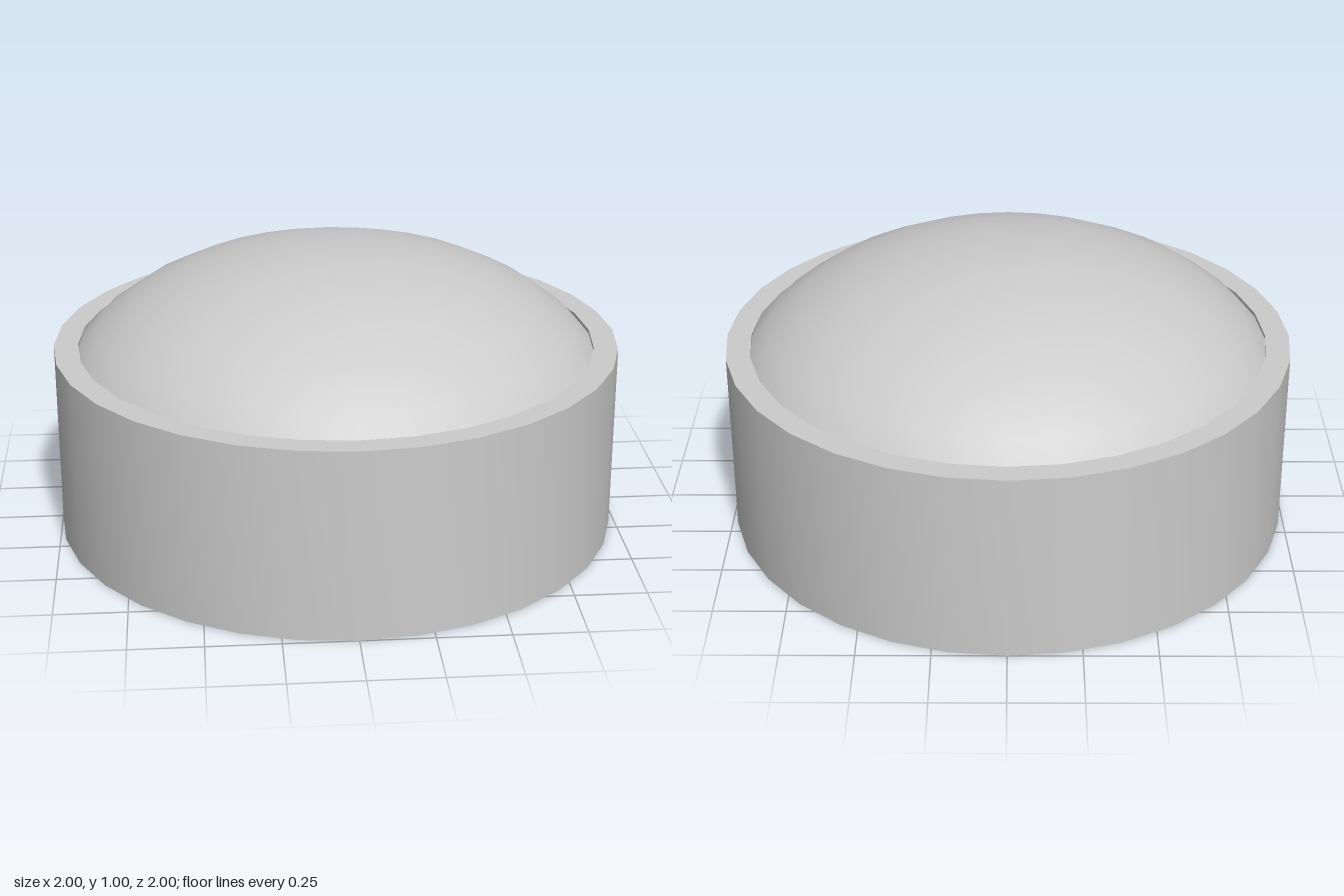
import * as THREE from 'three';
import { toCreasedNormals } from 'three/addons/utils/BufferGeometryUtils.js';

export function createModel() {
  const group = new THREE.Group();
  const material = new THREE.MeshStandardMaterial({ color: 0xcccccc });
  const sides = 32;

  // Round base with a shallow recess inside its rim
  const profile = [[0, 0], [1, 0], [1, 0.67], [0.915, 0.67], [0.915, 0.6], [0, 0.6]]
    .map(([r, y]) => new THREE.Vector2(r, y));
  const base = new THREE.Mesh(
    toCreasedNormals(new THREE.LatheGeometry(profile, sides), Math.PI / 5), material);
  base.name = 'base';
  group.add(base);

  // Flattened dome whose lower edge is seated in the rim wall
  const domeHeight = 0.61;
  const domeGeometry = new THREE.SphereGeometry(1, sides, 6, 0, Math.PI * 2, 0, Math.PI * 3 / 8);
  domeGeometry.scale(1.02, domeHeight, 1.02);
  domeGeometry.translate(0, 1.003 - domeHeight, 0);
  const dome = new THREE.Mesh(domeGeometry, material);
  dome.name = 'dome';
  group.add(dome);

  return group;
}
